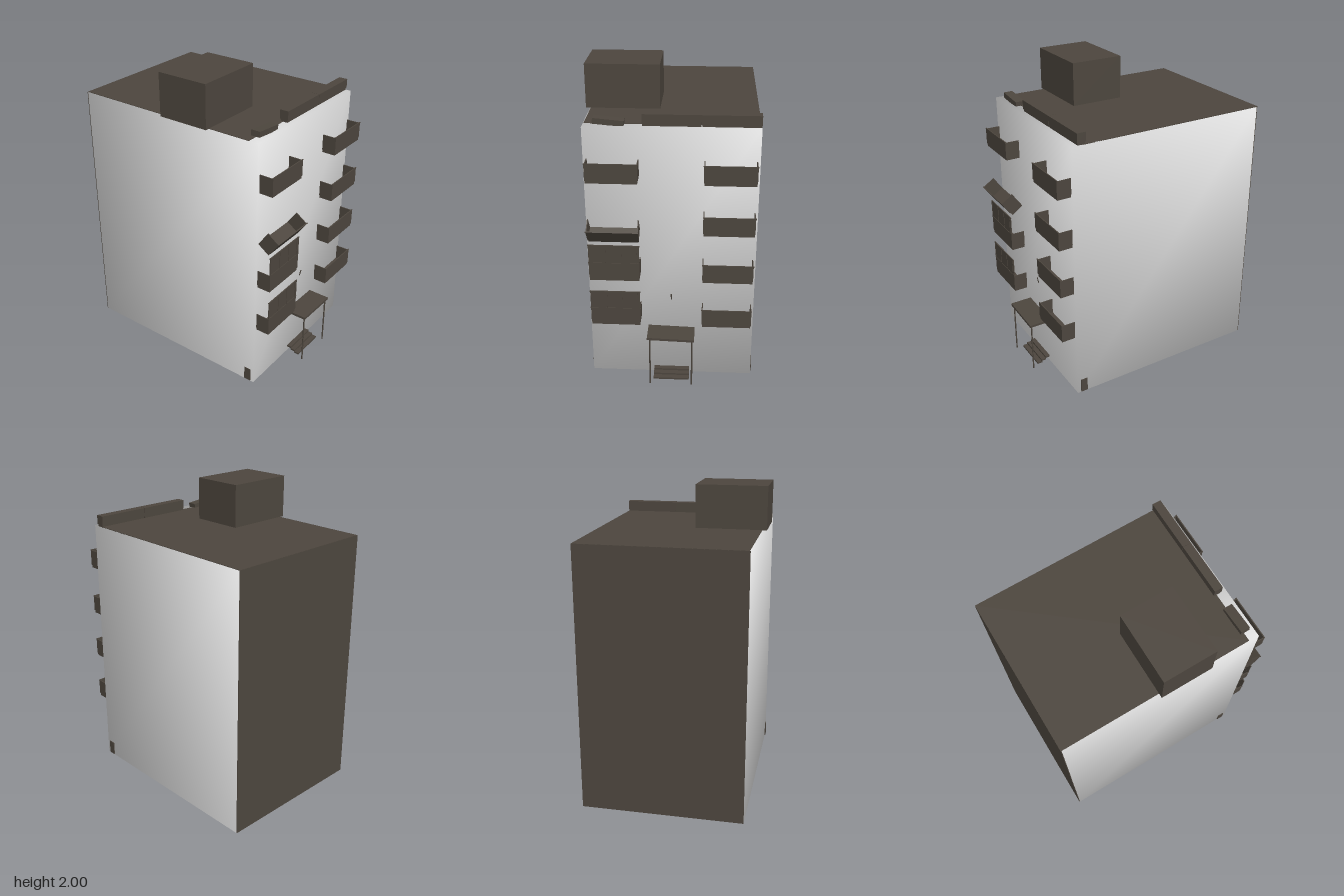
import * as THREE from 'three';
import { mergeVertices } from 'three/addons/utils/BufferGeometryUtils.js';

export function createModel() {
  const model = new THREE.Group();
  const plaster = new THREE.MeshStandardMaterial({ color: 0xe7e7e7 });
  plaster.name = 'pale plaster';
  const dark = new THREE.MeshStandardMaterial({ color: 0x4d463e });
  dark.name = 'dark brown';

  // Box given by its minimum and maximum on each axis
  function block(parent, name, x0, x1, y0, y1, z0, z1, material = dark) {
    const mesh = new THREE.Mesh(new THREE.BoxGeometry(x1 - x0, y1 - y0, z1 - z0), material);
    mesh.position.set((x0 + x1) / 2, (y0 + y1) / 2, (z0 + z1) / 2);
    mesh.name = name;
    parent.add(mesh);
    return mesh;
  }

  // Building body, with normals shared across its corners
  const body = block(model, 'buildingBody', -0.515, 0.53, 0, 1.72, -0.742, 0.597, plaster);
  body.geometry.deleteAttribute('normal');
  body.geometry.deleteAttribute('uv');
  body.geometry = mergeVertices(body.geometry);
  body.geometry.computeVertexNormals();

  // Dark roof covering and rear wall
  block(model, 'roof', -0.51, 0.53, 1.718, 1.723, -0.745, 0.53);
  block(model, 'rearWall', -0.515, 0.53, 0, 1.722, -0.746, -0.741);

  // Roof hut and parapet, one piece fallen
  block(model, 'roofHut', -0.54, -0.08, 1.722, 2, -0.097, 0.25);
  for (const [x0, x1] of [[-0.165, 0.182], [0.184, 0.532]]) {
    block(model, 'parapet', x0, x1, 1.735, 1.793, 0.508, 0.565);
    block(model, 'parapetBase', x0 + 0.002, x1 - 0.002, 1.72, 1.735, 0.513, 0.56);
  }
  const fallen = block(model, 'fallenParapet', -0.455, -0.27, 1.722, 1.757, 0.506, 0.566);
  fallen.rotation.z = -0.09;

  // Open balcony tray; its origin is the lower outer edge
  const width = 0.312, depth = 0.093, height = 0.12, t = 0.006;
  function balcony(x, y, glazed) {
    const g = new THREE.Group();
    g.name = 'balcony';
    g.position.set(x, y, 0.692);
    const w = width / 2;
    block(g, 'balconyFloor', -w + 0.003, w - 0.003, 0, 0.018, -depth, -0.003);
    block(g, 'balconyFront', -w, w, 0.018, height, -t, 0);
    for (const s of [-1, 1]) {
      const c = s * (w - t / 2);
      block(g, 'balconySide', c - t / 2, c + t / 2, 0.018, height, -depth, -t);
    }
    block(g, 'balconyRail', -w - 0.003, w + 0.003, height, height + 0.005, -t, 0.001);
    if (glazed) {
      // Front screen with mullions and a top rail
      block(g, 'screen', -w, w, height, 0.245, -0.005, -0.002);
      block(g, 'screenRail', -w - 0.003, w + 0.003, 0.24, 0.247, -t, 0.001);
      for (const m of [-w + 0.002, -0.052, 0.045, 0.137, w - 0.002])
        block(g, 'mullion', m - 0.002, m + 0.002, height, 0.245, -t, 0.001);
    }
    model.add(g);
    return g;
  }
  for (const y of [0.425, 0.75, 1.075, 1.405]) balcony(0.358, y, false);
  balcony(-0.34, 0.425, true);
  balcony(-0.34, 0.75, true);
  balcony(-0.34, 1.405, false);

  // Balcony that has tipped forward
  const tipped = balcony(-0.34, 1.01, false);
  tipped.name = 'tippedBalcony';
  tipped.position.z = 0.675;
  tipped.rotation.x = 0.61;

  // Entrance canopy, posts and steps
  const canopy = block(model, 'canopy', -0.142, 0.158, 0.345, 0.361, 0.597, 0.744);
  canopy.rotation.z = -0.03;
  for (const x of [-0.125, 0.144]) {
    const post = new THREE.Mesh(new THREE.CylinderGeometry(0.005, 0.005, 0.347, 8), dark);
    post.position.set(x, 0.1735, 0.73);
    post.name = 'canopyPost';
    model.add(post);
  }
  for (let i = 0; i < 3; i++)
    block(model, 'step', -0.107, 0.125, 0.003 + i * 0.013, 0.015 + i * 0.013,
      0.655 - i * 0.029, 0.69 - i * 0.031);

  // Small bracket above the entrance
  const bracket = block(model, 'wallBracket', 0.003, 0.011, 0.565, 0.609, 0.6, 0.604);
  bracket.rotation.x = 0.22;

  // Small boxes low on both side walls
  block(model, 'leftWallBox', 0.525, 0.536, 0.005, 0.097, 0.528, 0.574);
  block(model, 'rightWallBox', -0.52, -0.51, 0.005, 0.097, 0.528, 0.574);

  return model;
}
